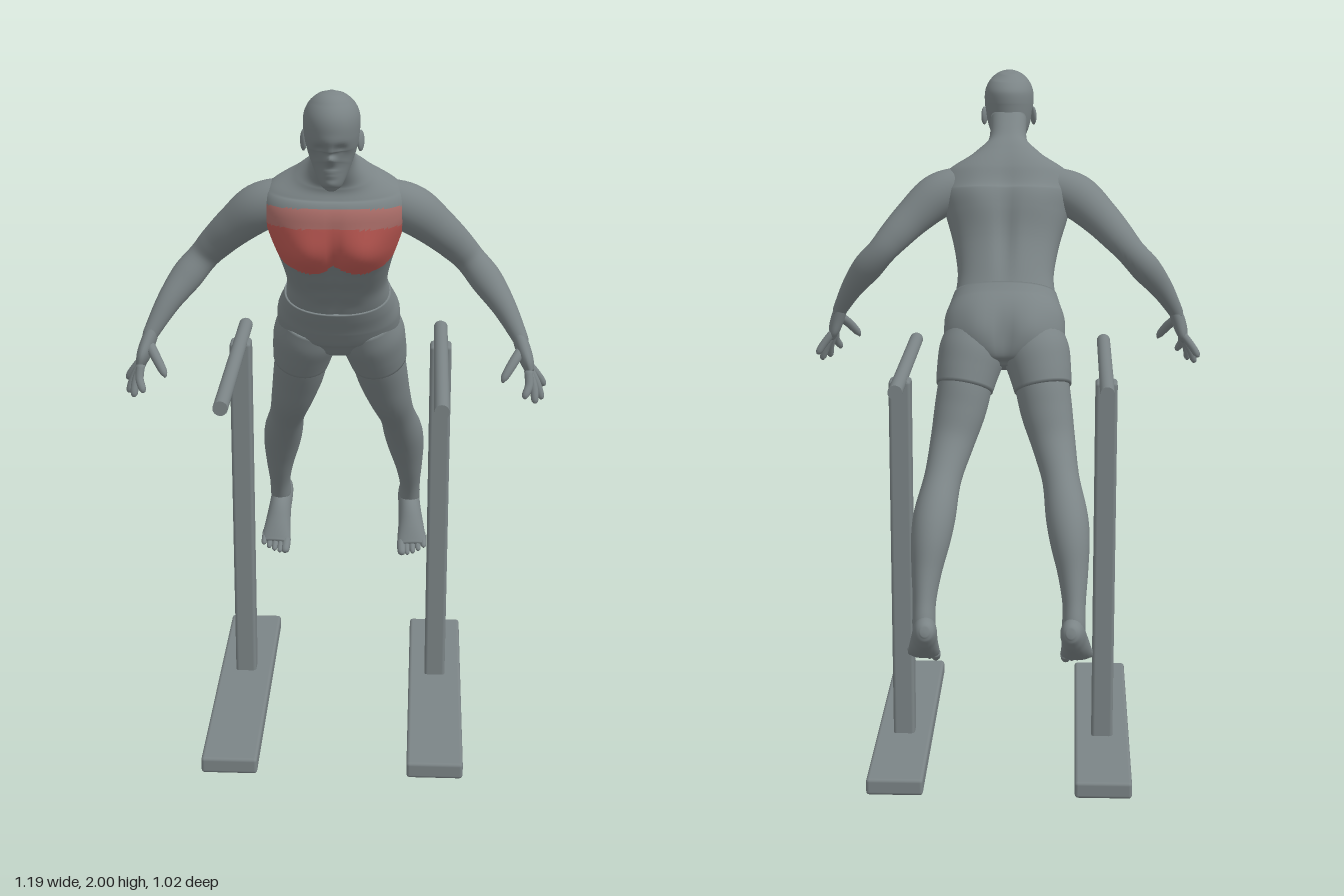
import * as THREE from 'three';
import { RoundedBoxGeometry } from 'three/addons/geometries/RoundedBoxGeometry.js';

const gauss = (a, b = 0) => Math.exp(-a * a - b * b);
const X = new THREE.Vector3(1, 0, 0);

// Smooth closed skin through elliptical sections [x, y, z, halfWidth, halfDepth].
// bulge(p, f) pushes a point along the depth axis; paint(p, f) picks a material index.
function loft(keys, { rings = 24, sides = 20, power = 1, bulge, paint } = {}) {
  const curve = (f) => new THREE.CatmullRomCurve3(keys.map(f), false, 'catmullrom', 0.5);
  const path = curve((k) => new THREE.Vector3(k[0], k[1], k[2]));
  const size = curve((k) => new THREE.Vector3(k[3], k[4], 0));
  const pos = [], lists = [[], [], []];
  const soft = (v) => Math.sign(v) * Math.abs(v) ** power;
  for (let i = 0; i <= rings; i++) {
    const c = path.getPoint(i / rings), r = size.getPoint(i / rings);
    const T = path.getTangent(i / rings);
    const D = X.clone().cross(T).normalize(), S = T.clone().cross(D);
    for (let j = 0; j < sides; j++) {
      const a = (j / sides) * Math.PI * 2, f = Math.sin(a);
      const p = c.clone()
        .addScaledVector(S, soft(Math.cos(a)) * Math.max(r.x, 0.001))
        .addScaledVector(D, soft(f) * Math.max(r.y, 0.001));
      if (bulge) p.addScaledVector(D, bulge(p, f));
      pos.push(p.x, p.y, p.z);
    }
  }
  const face = (a, b, c, f) => {
    const mid = new THREE.Vector3();
    for (const n of [a, b, c]) mid.add(new THREE.Vector3().fromArray(pos, n * 3));
    lists[paint ? paint(mid.divideScalar(3), f) : 0].push(a, b, c);
  };
  for (let i = 0; i < rings; i++) {
    for (let j = 0; j < sides; j++) {
      const k = (j + 1) % sides, lo = i * sides, hi = lo + sides;
      const f = Math.sin(((j + 0.5) / sides) * Math.PI * 2);
      face(lo + j, hi + j, lo + k, f);
      face(lo + k, hi + j, hi + k, f);
    }
  }
  // end caps
  const first = pos.length / 3, last = rings * sides;
  pos.push(...path.getPoint(0).toArray(), ...path.getPoint(1).toArray());
  for (let j = 0; j < sides; j++) {
    const k = (j + 1) % sides;
    lists[0].push(first, j, k, first + 1, last + k, last + j);
  }
  const g = new THREE.BufferGeometry();
  g.setAttribute('position', new THREE.Float32BufferAttribute(pos, 3));
  g.setIndex(lists.flat());
  if (paint) {
    let start = 0;
    lists.forEach((l, m) => { g.addGroup(start, l.length, m); start += l.length; });
  }
  g.computeVertexNormals();
  return g;
}

export function createModel() {
  const model = new THREE.Group();
  const mat = (name, color) => Object.assign(new THREE.MeshStandardMaterial({ color }), { name });
  const grey = mat('slate grey', 0x7b8486);
  const red = mat('chest red', 0xbf5a54);
  const paleRed = mat('upper chest red', 0xb0716c);
  const add = (name, geometry, material = grey, parent = model) => {
    const m = new THREE.Mesh(geometry, material);
    m.name = name;
    parent.add(m);
    return m;
  };

  // Bars: foot plate, upright and rail on each side
  for (const s of [-1, 1]) {
    const stand = new THREE.Group();
    stand.name = s > 0 ? 'leftStand' : 'rightStand';
    model.add(stand);
    add('footPlate', new RoundedBoxGeometry(0.164, 0.05, 0.928, 2, 0.01), grey, stand).position.set(s * 0.3, 0.025, 0.008);
    add('upright', new RoundedBoxGeometry(0.064, 1.115, 0.066, 2, 0.01), grey, stand).position.set(s * 0.3, 0.59, -0.097);
    const rail = add('rail', new THREE.CylinderGeometry(0.021, 0.021, 0.745, 20), grey, stand);
    rail.rotation.x = Math.PI / 2;
    rail.position.set(s * 0.3, 1.145, 0.11);
  }

  // Torso and neck, with chest muscles, belly line and spine groove
  const torsoBulge = (p, f) => {
    const x = Math.abs(p.x);
    if (f > 0) {
      const pec = 0.024 * gauss((x - 0.08) / 0.065, (p.y - 1.535) / 0.055);
      const abs = 0.002 * Math.cos((p.y - 1.3) * 90) * gauss((x - 0.035) / 0.04, (p.y - 1.38) / 0.08);
      return f * (pec + abs - 0.008 * gauss(x / 0.014, (p.y - 1.47) / 0.14));
    }
    return -f * (0.014 * gauss(x / 0.025, (p.y - 1.56) / 0.14) - 0.008 * gauss((x - 0.09) / 0.05, (p.y - 1.66) / 0.08));
  };
  const chestPaint = (p, f) => {
    const x = Math.abs(p.x);
    const low = 1.465 + 0.07 * (x / 0.18) ** 4 + 0.03 * gauss(x / 0.03);
    if (f < 0.1 || x > 0.192 || p.y < low || p.y > 1.665) return 0;
    return p.y > 1.61 ? 2 : 1;
  };
  add('torso', loft([
    [0, 1.29, 0.035, 0.155, 0.09], [0, 1.36, 0.08, 0.148, 0.09], [0, 1.42, 0.115, 0.143, 0.093],
    [0, 1.5, 0.168, 0.158, 0.107], [0, 1.58, 0.21, 0.183, 0.12], [0, 1.65, 0.235, 0.2, 0.114],
    [0, 1.708, 0.246, 0.182, 0.084], [0, 1.75, 0.266, 0.108, 0.064], [0, 1.79, 0.3, 0.06, 0.054],
    [0, 1.86, 0.355, 0.054, 0.048],
  ], { rings: 110, sides: 80, power: 0.88, bulge: torsoBulge, paint: chestPaint }), [grey, red, paleRed]);

  // Shorts around the pelvis, with seat muscles
  add('shortsTop', loft([
    [0, 1.165, -0.02, 0.05, 0.04], [0, 1.185, -0.012, 0.1, 0.075], [0, 1.23, 0.0, 0.168, 0.098],
    [0, 1.29, 0.028, 0.178, 0.104], [0, 1.335, 0.062, 0.163, 0.098], [0, 1.365, 0.083, 0.152, 0.094],
  ], {
    rings: 36, sides: 48, power: 0.9,
    bulge: (p, f) => (f < 0 ? f * (0.014 * gauss((Math.abs(p.x) - 0.08) / 0.05, (p.y - 1.29) / 0.07)
      - 0.012 * gauss(p.x / 0.015, (p.y - 1.27) / 0.06)) : 0),
  }));

  // Head: face shaped by rule
  const faceBulge = (p, f) => {
    if (f <= 0) return 0;
    const x = Math.abs(p.x), y = p.y;
    return f * (
      0.003 * gauss(x / 0.045, (y - 1.885) / 0.014)
      - 0.011 * gauss((x - 0.028) / 0.016, (y - 1.862) / 0.012)
      + 0.022 * gauss(x / 0.012, (y - 1.828) / 0.012)
      + 0.008 * gauss(x / 0.008, (y - 1.85) / 0.016)
      + 0.005 * gauss(x / 0.02, (y - 1.797) / 0.005)
      + 0.004 * gauss(x / 0.018, (y - 1.785) / 0.005)
      + 0.004 * gauss(x / 0.02, (y - 1.762) / 0.01));
  };
  add('head', loft([
    [0, 1.744, 0.428, 0.01, 0.012], [0, 1.749, 0.428, 0.024, 0.026], [0, 1.77, 0.424, 0.036, 0.042],
    [0, 1.81, 0.41, 0.053, 0.067], [0, 1.85, 0.402, 0.066, 0.087], [0, 1.9, 0.406, 0.074, 0.1],
    [0, 1.94, 0.409, 0.073, 0.099], [0, 1.972, 0.409, 0.058, 0.077], [0, 1.993, 0.407, 0.032, 0.042],
    [0, 2.0, 0.406, 0.004, 0.005],
  ], { rings: 90, sides: 64, bulge: faceBulge }));

  for (const s of [-1, 1]) {
    const side = s > 0 ? 'left' : 'right';
    const limb = (name, keys, opts) =>
      add(side + name, loft(keys.map(([x, ...k]) => [x * s, ...k]), opts));

    // Ear
    const ear = add(side + 'Ear', new THREE.SphereGeometry(1, 16, 12));
    ear.scale.set(0.008, 0.028, 0.016);
    ear.position.set(s * 0.075, 1.865, 0.39);
    ear.rotation.set(-0.15, s * -0.4, 0);

    // Arm
    limb('Arm', [
      [0.06, 1.675, 0.234, 0.045, 0.045], [0.14, 1.665, 0.228, 0.06, 0.06], [0.21, 1.638, 0.217, 0.067, 0.066],
      [0.28, 1.58, 0.192, 0.057, 0.056], [0.335, 1.525, 0.166, 0.049, 0.047], [0.375, 1.48, 0.156, 0.043, 0.041],
      [0.42, 1.428, 0.176, 0.045, 0.042], [0.47, 1.362, 0.216, 0.034, 0.035], [0.512, 1.29, 0.254, 0.023, 0.025],
      [0.518, 1.275, 0.26, 0.021, 0.025],
    ], { rings: 50, sides: 28 });

    // Hand
    limb('Palm', [
      [0.507, 1.3, 0.25, 0.018, 0.022], [0.522, 1.262, 0.266, 0.021, 0.033],
      [0.535, 1.225, 0.28, 0.019, 0.043], [0.543, 1.198, 0.288, 0.012, 0.036],
    ], { rings: 14 });
    const tips = [[0.53, 1.14, 0.352], [0.558, 1.118, 0.326], [0.576, 1.117, 0.288], [0.583, 1.142, 0.25]];
    tips.forEach(([x, y, z], i) => {
      const bz = 0.317 - i * 0.02, by = 1.205 + Math.abs(i - 1) * 0.004;
      limb('Finger' + (i + 1), [
        [0.538, by, bz, 0.012, 0.012], [(0.55 + x) / 2, (by + y) / 2, (bz + z) / 2, 0.0115, 0.0115],
        [x, y + 0.01, z, 0.01, 0.01], [x, y, z, 0.003, 0.003],
      ], { rings: 12, sides: 12 });
    });
    limb('Thumb', [
      [0.52, 1.258, 0.275, 0.015, 0.015], [0.497, 1.232, 0.309, 0.014, 0.014],
      [0.473, 1.198, 0.336, 0.011, 0.011], [0.466, 1.183, 0.343, 0.003, 0.003],
    ], { rings: 14, sides: 12 });

    // Leg of the shorts
    limb('ShortsLeg', [
      [0.08, 1.26, 0.015, 0.09, 0.09], [0.094, 1.21, -0.01, 0.098, 0.1],
      [0.106, 1.16, -0.034, 0.092, 0.096], [0.115, 1.112, -0.057, 0.084, 0.089],
    ], { rings: 18, sides: 32 });

    // Bare leg
    limb('Leg', [
      [0.104, 1.17, -0.03, 0.078, 0.082], [0.115, 1.11, -0.058, 0.079, 0.083], [0.128, 1.045, -0.088, 0.075, 0.074],
      [0.148, 0.965, -0.13, 0.064, 0.064], [0.17, 0.88, -0.205, 0.054, 0.059], [0.188, 0.795, -0.285, 0.06, 0.067],
      [0.198, 0.73, -0.33, 0.056, 0.066], [0.207, 0.65, -0.368, 0.043, 0.055], [0.211, 0.575, -0.405, 0.033, 0.046],
      [0.211, 0.52, -0.43, 0.033, 0.045], [0.211, 0.49, -0.432, 0.03, 0.038],
    ], { rings: 54, sides: 32 });

    // Foot and toes
    limb('Foot', [
      [0.203, 0.522, -0.508, 0.012, 0.014], [0.204, 0.518, -0.495, 0.026, 0.03], [0.207, 0.504, -0.46, 0.034, 0.046],
      [0.212, 0.472, -0.408, 0.036, 0.048], [0.217, 0.432, -0.366, 0.041, 0.035],
      [0.22, 0.398, -0.334, 0.046, 0.022], [0.221, 0.384, -0.318, 0.042, 0.014],
    ], { rings: 26, sides: 24 });
    for (let i = 0; i < 5; i++) {
      const x = 0.186 + i * 0.0175, r = i ? 0.0095 : 0.0135, back = i * i * 0.0012;
      limb('Toe' + (i + 1), [
        [x, 0.392 + back, -0.328 - back, r, r], [x + 0.002, 0.372 + back, -0.304 - back, r, r],
        [x + 0.003, 0.364 + back, -0.293 - back, r * 0.8, r * 0.8], [x + 0.003, 0.36 + back, -0.289 - back, 0.003, 0.003],
      ], { rings: 10, sides: 12 });
    }
  }
  return model;
}
